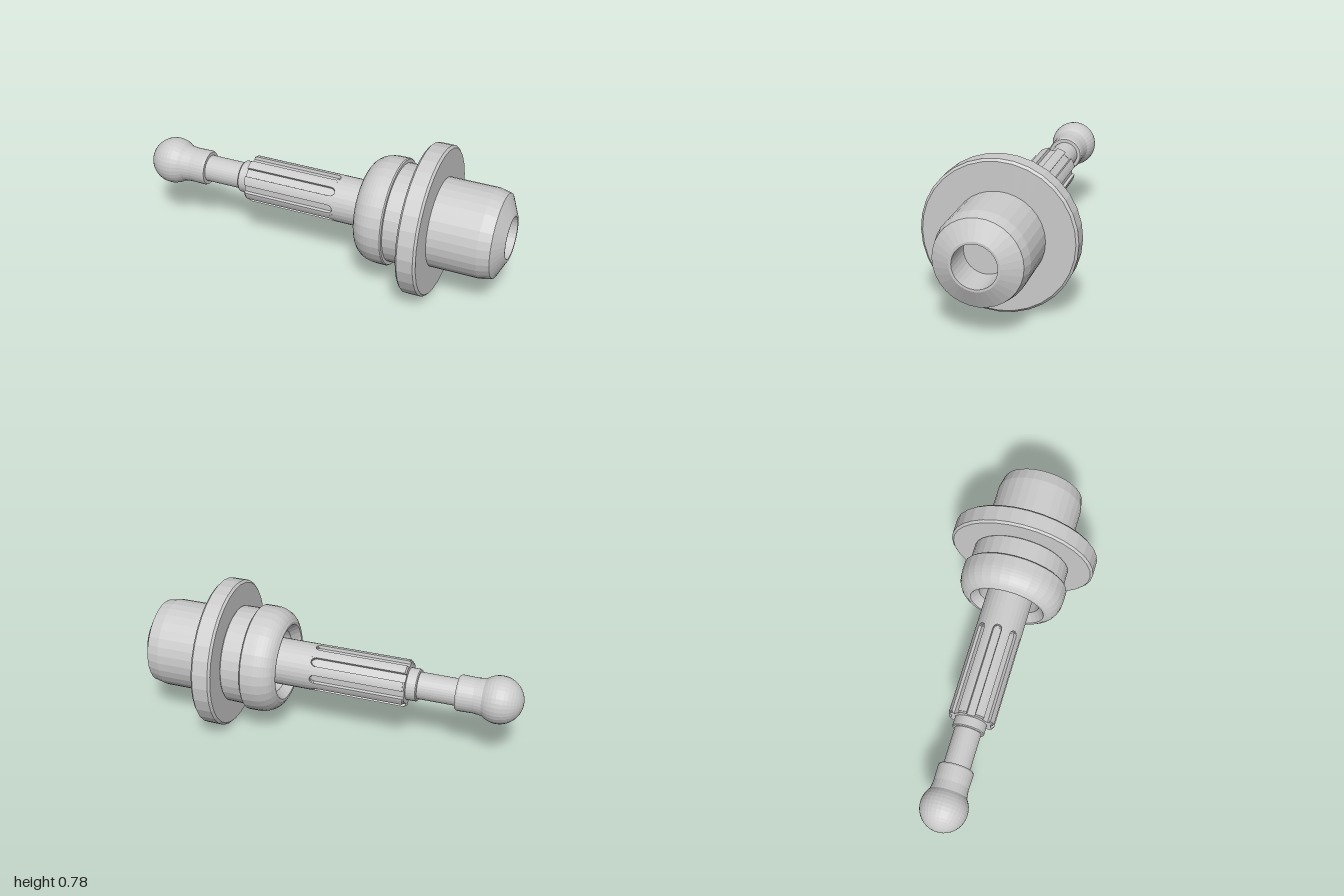
import * as THREE from 'three';

const AXIS_Y = 0.39;
const SEGMENTS = 32;
const material = new THREE.MeshStandardMaterial({ color: 0xcccccc, flatShading: true });

function addMesh(group, name, geometry) {
  const mesh = new THREE.Mesh(geometry, material);
  mesh.name = name;
  mesh.position.y = AXIS_Y;
  group.add(mesh);
}

// Turn a profile of [x along the axis, radius] around the x axis.
function turned(profile) {
  const points = profile.map(([x, r]) => new THREE.Vector2(r, x));
  return new THREE.LatheGeometry(points, SEGMENTS).rotateZ(-Math.PI / 2);
}

// Points along an arc, centre (cx, cr), from angle a to b in degrees.
function arc(cx, cr, rx, rr, a, b, steps) {
  return Array.from({ length: steps + 1 }, (_, i) => {
    const t = THREE.MathUtils.degToRad(a + (b - a) * i / steps);
    return [cx + rx * Math.cos(t), Math.max(0, cr + rr * Math.sin(t))];
  });
}

// Slice of the shaft with eight grooves of the given half angle.
function groovedSlice(x0, x1, radius, halfAngle, depth = 0.017) {
  const shape = new THREE.Shape();
  const point = (r, t) => [r * Math.cos(t), r * Math.sin(t)];
  for (let i = 0; i < 8; i++) {
    const mid = i * Math.PI / 4;
    const corners = [
      [radius, mid - halfAngle], [radius - depth, mid - halfAngle],
      [radius - depth, mid + halfAngle], [radius, mid + halfAngle],
    ];
    for (let k = 1; k <= 3; k++) {
      corners.push([radius, mid + halfAngle + (Math.PI / 4 - 2 * halfAngle) * k / 4]);
    }
    corners.forEach(([r, t], k) => {
      if (i === 0 && k === 0) shape.moveTo(...point(r, t));
      else shape.lineTo(...point(r, t));
    });
  }
  return new THREE.ExtrudeGeometry(shape, { depth: x1 - x0, bevelEnabled: false })
    .rotateY(Math.PI / 2).translate(x0, 0, 0);
}

export function createModel() {
  const model = new THREE.Group();
  model.name = 'ballEndedPlunger';

  // Ball flowing through a waist into a short collar
  addMesh(model, 'ballEnd', turned([
    ...arc(-0.877, 0, 0.123, 0.123, 180, 52, 14),
    [-0.78, 0.094], [-0.755, 0.091], [-0.73, 0.092],
    [-0.675, 0.093], [-0.665, 0.088], [-0.665, 0.06],
  ]));

  // Thin rod and stepped shoulder
  addMesh(model, 'neckRod', turned([[-0.68, 0.07], [-0.45, 0.07]]));
  addMesh(model, 'shoulder', turned([
    [-0.465, 0.06], [-0.465, 0.08], [-0.46, 0.084], [-0.4, 0.084],
  ]));

  // Grooved shaft; the grooves narrow to rounded ends
  const splines = new THREE.Group();
  splines.name = 'groovedShaft';
  model.add(splines);
  const half = 0.19;
  addMesh(splines, 'grooveLeadIn', groovedSlice(-0.41, -0.402, 0.117, half, 0.012));
  addMesh(splines, 'grooveBody', groovedSlice(-0.402, 0.068, 0.122, half));
  const ends = [0.068, 0.078, 0.085, 0.09];
  for (let i = 0; i < 3; i++) {
    addMesh(splines, 'grooveEnd', groovedSlice(ends[i], ends[i + 1], 0.122, half * [0.93, 0.73, 0.4][i]));
  }
  addMesh(model, 'plainShaft', turned([[0.09, 0], [0.09, 0.122], [0.42, 0.122]]));

  // Housing: recessed mouth, domed bead, flange, tapered nose and blind bore
  addMesh(model, 'housing', turned([
    [0.4, 0.1], [0.4, 0.165], [0.29, 0.165], [0.245, 0.2], [0.245, 0.215],
    ...arc(0.36, 0.2, 0.115, 0.08, 165, 90, 8),
    [0.41, 0.28], [0.416, 0.275], [0.416, 0.258], [0.525, 0.256], [0.53, 0.25],
    [0.53, 0.378], [0.541, 0.39], [0.624, 0.39], [0.635, 0.378],
    [0.635, 0.232], [0.89, 0.232], [0.953, 0.218], [1, 0.122],
    [1, 0.11], [0.82, 0.11], [0.82, 0],
  ]));

  return model;
}
